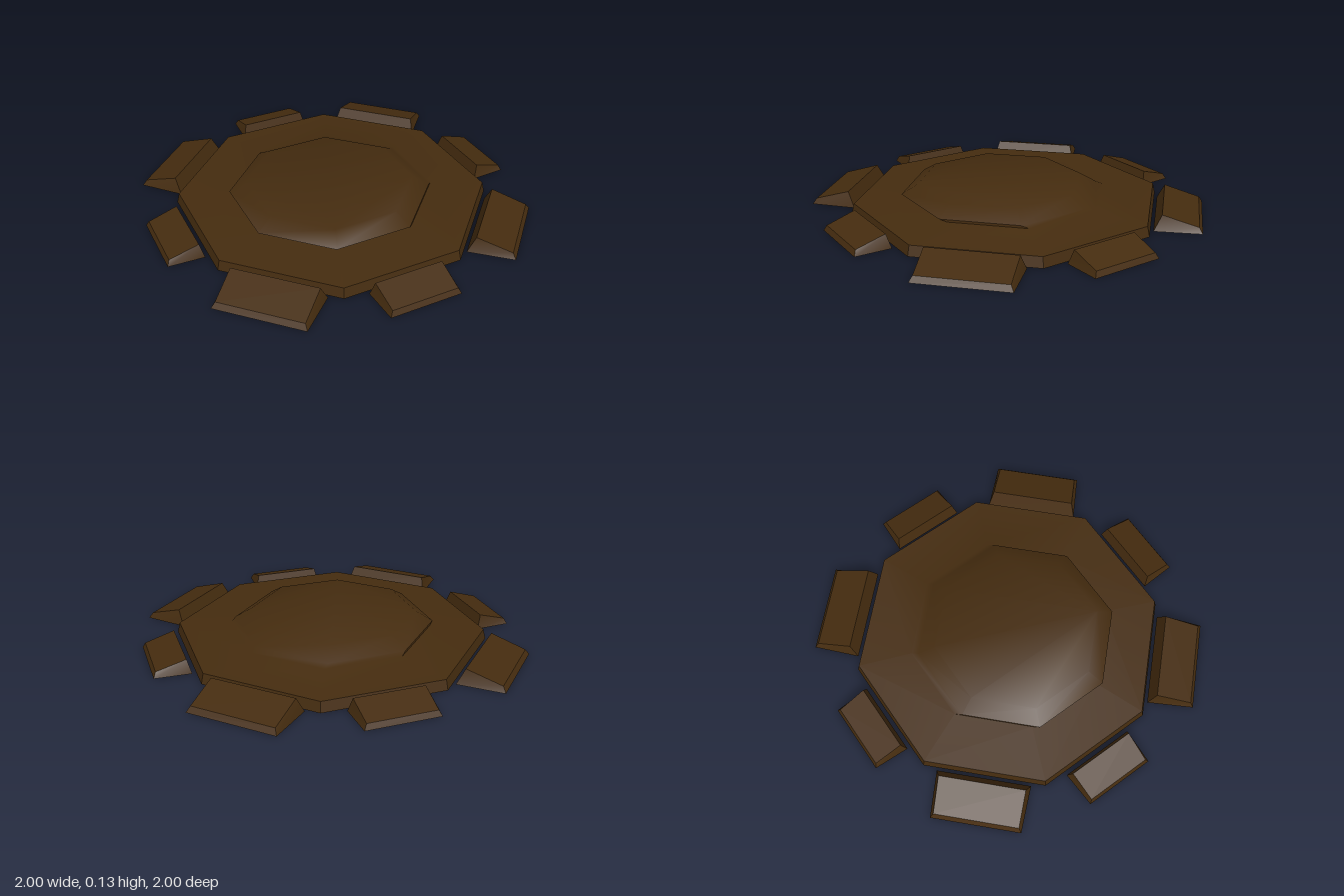
import * as THREE from 'three';
import { toCreasedNormals } from 'three/addons/utils/BufferGeometryUtils.js';

// Shell open underneath: joins equal rings of points from bottom to top, then caps the last one
function shell(rings) {
  const points = [];
  const n = rings[0].length;
  for (let r = 0; r < rings.length - 1; r++) {
    const [low, high] = [rings[r], rings[r + 1]];
    for (let i = 0; i < n; i++) {
      const j = (i + 1) % n;
      points.push(low[i], low[j], high[j], low[i], high[j], high[i]);
    }
  }
  const top = rings[rings.length - 1];
  for (let i = 1; i < n - 1; i++) points.push(top[0], top[i], top[i + 1]);
  return toCreasedNormals(new THREE.BufferGeometry().setFromPoints(points), 0.6);
}

// Octagon with flat sides facing the axes, shifted along z
function octagon(apothem, y, shift = 0) {
  const radius = apothem / Math.cos(Math.PI / 8);
  return Array.from({ length: 8 }, (_, i) => {
    const a = (i + 0.5) * Math.PI / 4;
    return new THREE.Vector3(Math.sin(a) * radius, y, Math.cos(a) * radius + shift);
  });
}

// Four corners of a block ring; outer and inner edges are [z, y, halfWidth]
function corners([zo, yo, wo], [zi, yi, wi]) {
  return [
    new THREE.Vector3(-wo, yo, zo), new THREE.Vector3(wo, yo, zo),
    new THREE.Vector3(wi, yi, zi), new THREE.Vector3(-wi, yi, zi),
  ];
}

export function createModel() {
  const model = new THREE.Group();
  const brown = new THREE.MeshStandardMaterial({ color: 0x452c0f, side: THREE.DoubleSide });
  brown.name = 'dark brown';

  const add = (name, geometry) => {
    const mesh = new THREE.Mesh(geometry, brown);
    mesh.name = name;
    model.add(mesh);
    return mesh;
  };

  // Hollow base rising gently into a slightly off-centre platform
  add('basePlatform', shell([
    octagon(0.75, 0),
    octagon(0.738, 0.052),
    octagon(0.48, 0.067),
    octagon(0.48, 0.079, 0.04),
    octagon(0.40, 0.13, 0.04),
  ]));

  // Ring of hollow blocks: large ones on the axes, small ones on the diagonals
  const large = shell([
    corners([1, 0, 0.228], [0.765, 0, 0.24]),
    corners([0.982, 0.028, 0.213], [0.802, 0.08, 0.218]),
  ]);
  const small = shell([
    corners([0.953, 0, 0.184], [0.77, 0, 0.193]),
    corners([0.94, 0.028, 0.17], [0.79, 0.072, 0.175]),
  ]);
  for (let i = 0; i < 8; i++) {
    const block = i % 2 === 0 ? add('largeBlock', large) : add('smallBlock', small);
    block.rotation.y = i * Math.PI / 4;
  }
  return model;
}
